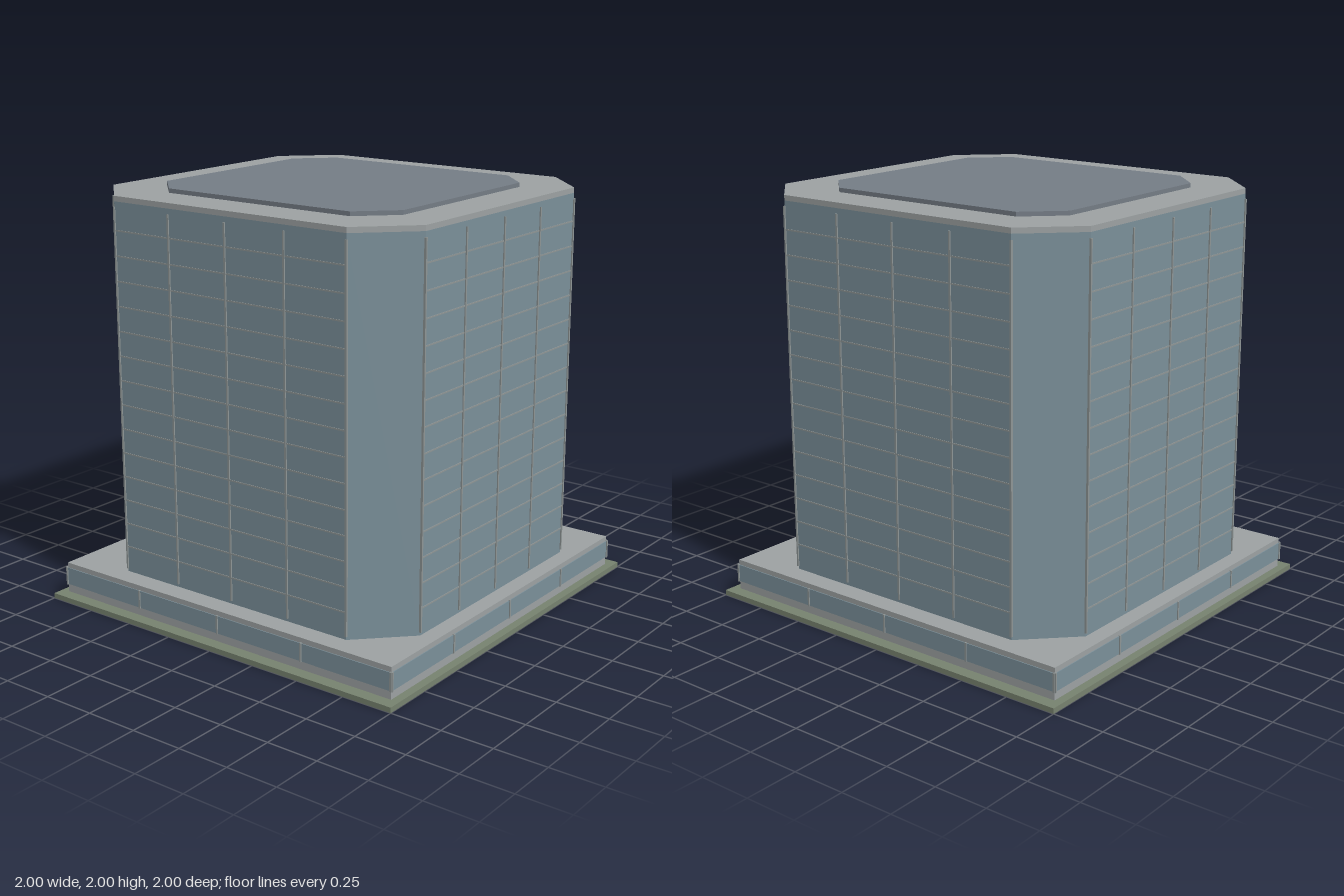
import * as THREE from 'three';

const mat = (color) => new THREE.MeshStandardMaterial({ color, flatShading: true });
const glass = mat(0x7b909a);
const concrete = mat(0x9da2a3);
const frame = mat(0x8f9696);
const roofing = mat(0x757d86);
const paving = mat(0x77826f);

// Rectangle with cut corners, extruded upwards from y0 to y1
function octagonPrism(hx, hz, cut, y0, y1) {
  const shape = new THREE.Shape([
    [hx, -hz + cut], [hx, hz - cut], [hx - cut, hz], [-hx + cut, hz],
    [-hx, hz - cut], [-hx, -hz + cut], [-hx + cut, -hz], [hx - cut, -hz],
  ].map(([x, y]) => new THREE.Vector2(x, y)));
  const geo = new THREE.ExtrudeGeometry(shape, { depth: y1 - y0, bevelEnabled: false });
  return geo.rotateX(-Math.PI / 2).translate(0, y0, 0);
}

function slab(hx, hz, y0, y1) {
  return new THREE.BoxGeometry(hx * 2, y1 - y0, hz * 2).translate(0, (y0 + y1) / 2, 0);
}

export function createModel() {
  const model = new THREE.Group();
  model.name = 'officeTower';

  function add(name, geometry, material, parent = model) {
    const mesh = new THREE.Mesh(geometry, material);
    mesh.name = name;
    parent.add(mesh);
    return mesh;
  }

  // Ground slab and podium with a glazed band
  add('groundSlab', slab(1, 1, 0, 0.025), paving);
  add('podium', slab(0.96, 0.94, 0.025, 0.175), concrete);
  add('podiumGlazing', slab(0.964, 0.944, 0.065, 0.15), glass);

  // Tower shaft, parapet and raised roof
  const HX = 0.88, HZ = 0.84, CUT = 0.23;
  add('towerShaft', octagonPrism(HX, HZ, CUT, 0.175, 1.955), glass);
  add('parapet', octagonPrism(HX, HZ, CUT, 1.955, 1.98), concrete);
  add('raisedRoof', octagonPrism(0.67, 0.63, 0.16, 1.98, 2), roofing);

  // Mullions and floor bands on the four sides
  const sides = [
    { name: 'front', half: HX - CUT, out: HZ, podHalf: 0.96, podOut: 0.944 },
    { name: 'left', half: HZ - CUT, out: HX, podHalf: 0.94, podOut: 0.964 },
    { name: 'back', half: HX - CUT, out: HZ, podHalf: 0.96, podOut: 0.944 },
    { name: 'right', half: HZ - CUT, out: HX, podHalf: 0.94, podOut: 0.964 },
  ];
  const mullion = new THREE.BoxGeometry(0.009, 1.74, 0.012);
  const podiumMullion = new THREE.BoxGeometry(0.009, 0.09, 0.01);
  sides.forEach((side, i) => {
    const facade = new THREE.Group();
    facade.name = side.name + 'Facade';
    facade.rotation.y = i * Math.PI / 2;
    model.add(facade);

    for (let k = -2; k <= 2; k++) {
      add('mullion', mullion, frame, facade).position.set(k * side.half / 2, 1.06, side.out);
      add('podiumMullion', podiumMullion, frame, facade)
        .position.set(k * side.podHalf / 2, 0.108, side.podOut);
    }
    const band = new THREE.BoxGeometry(side.half * 2, 0.007, 0.006);
    for (let f = 0; f < 14; f++) {
      add('floorBand', band, frame, facade).position.set(0, 0.302 + f * 0.117, side.out);
    }
  });
  return model;
}
